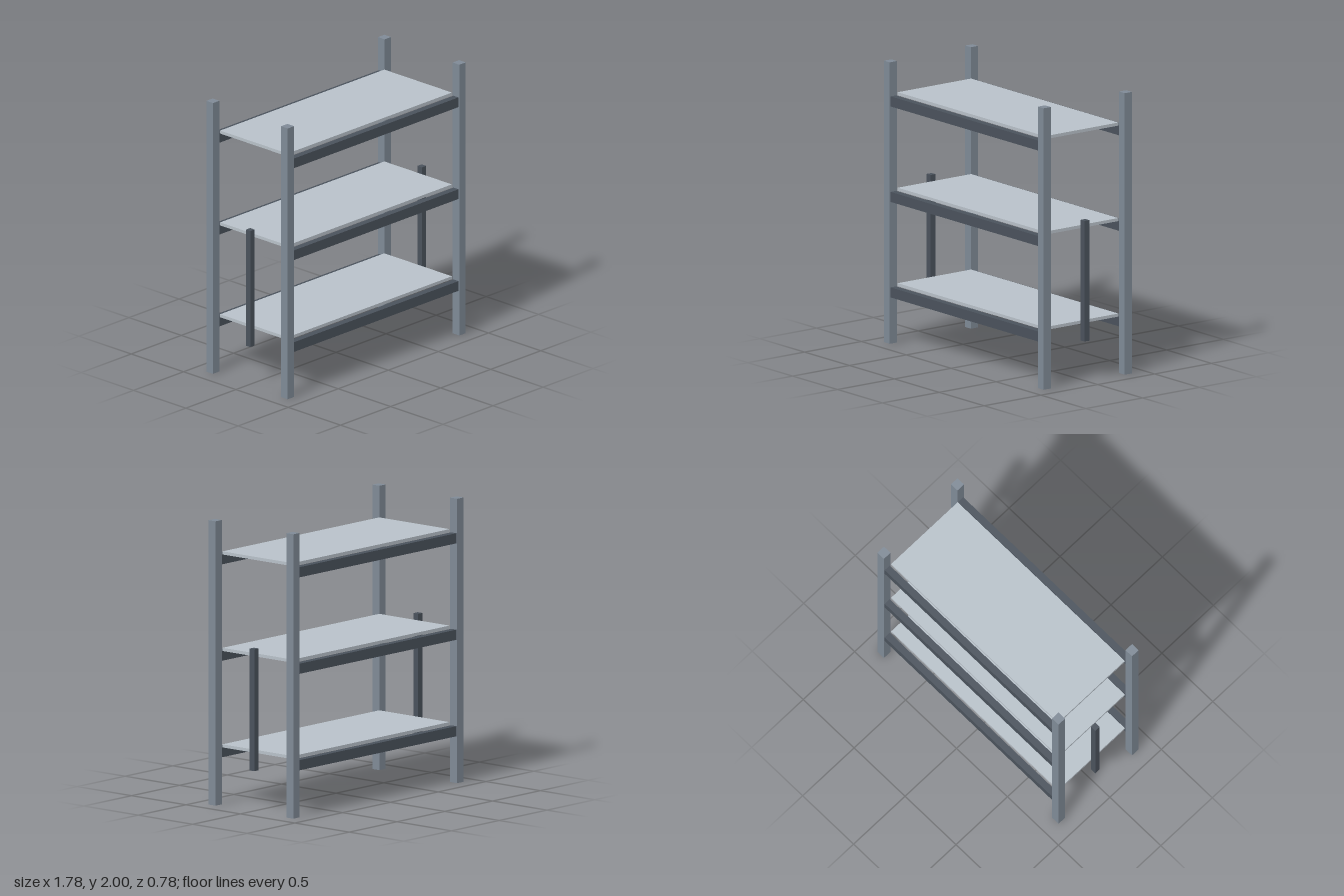
import * as THREE from 'three';

export function createModel() {
  const group = new THREE.Group();
  const postSteel = new THREE.MeshStandardMaterial({ name: 'post steel', color: 0x7f8a96 });
  const beamSteel = new THREE.MeshStandardMaterial({ name: 'dark beam steel', color: 0x4a525c });
  const shelfPanel = new THREE.MeshStandardMaterial({ name: 'light shelf panel', color: 0xb8c1c9 });

  const addBox = (name, material, [w, h, d], [x, y, z]) => {
    const mesh = new THREE.Mesh(new THREE.BoxGeometry(w, h, d), material);
    mesh.name = name;
    mesh.position.set(x, y, z);
    group.add(mesh);
  };

  const postX = 0.857, postZ = 0.357;

  for (const sx of [-1, 1]) {
    const side = sx > 0 ? 'left' : 'right';
    // Corner posts
    for (const sz of [-1, 1]) {
      addBox(`${side}${sz > 0 ? 'Front' : 'Back'}Post`, postSteel,
        [0.064, 2, 0.064], [sx * postX, 1, sz * postZ]);
    }
    // Upright brace in the middle of each end
    addBox(`${side}Brace`, beamSteel, [0.043, 0.857, 0.043], [sx * postX, 0.714, 0]);
  }

  // Three levels: a panel lying between a front and a back beam
  [0.4, 1.0785, 1.757].forEach((beamTop, i) => {
    addBox(`shelf${i + 1}`, shelfPanel, [1.64, 0.022, 0.646], [0, beamTop + 0.011, 0]);
    for (const sz of [-1, 1]) {
      addBox(`${sz > 0 ? 'front' : 'back'}Beam${i + 1}`, beamSteel,
        [1.65, 0.0715, 0.049], [0, beamTop - 0.0357, sz * postZ]);
    }
  });

  return group;
}
